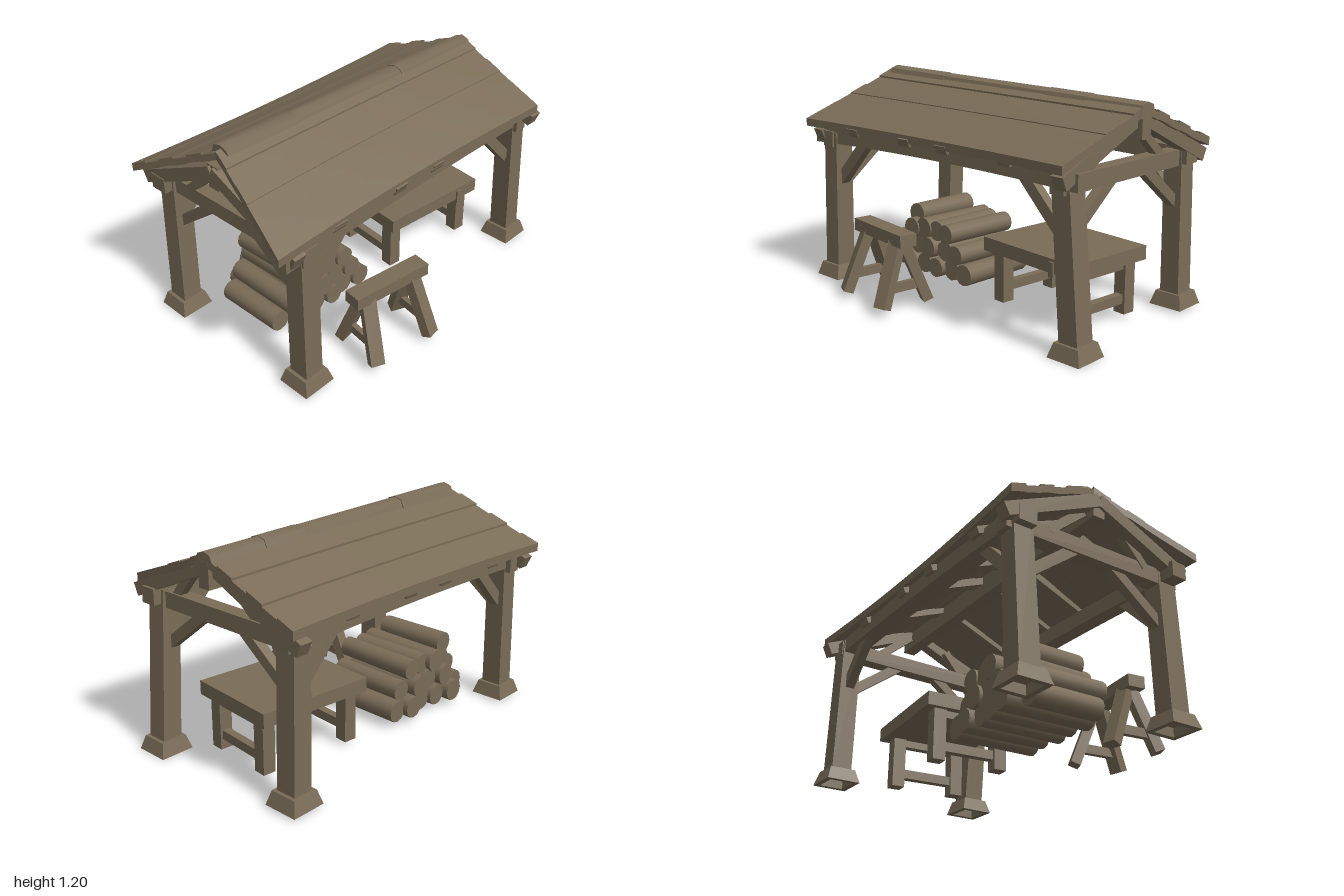
import * as THREE from 'three';

const wood = new THREE.MeshStandardMaterial({ color: 0x7a6c57 });
wood.name = 'weathered wood';
const V = (p) => new THREE.Vector3(...p);
const lerp = THREE.MathUtils.lerp;
const ridgeX = -0.09;

// Moves every vertex of a geometry by a rule
function deform(geo, rule) {
  const p = geo.attributes.position, v = new THREE.Vector3();
  for (let i = 0; i < p.count; i++) {
    v.fromBufferAttribute(p, i);
    rule(v);
    p.setXYZ(i, v.x, v.y, v.z);
  }
  geo.computeVertexNormals();
  return geo;
}

function add(parent, name, geo) {
  const m = new THREE.Mesh(geo, wood);
  m.name = name;
  parent.add(m);
  return m;
}

// Timber from a to b; taper scales the far end, bend lifts the middle
function beam(parent, name, a, b, w, h, taper = 1, bend = 0) {
  const A = V(a), B = V(b), len = A.distanceTo(B);
  const geo = deform(new THREE.BoxGeometry(w, h, len, 1, 1, bend ? 10 : 1), (v) => {
    const t = v.z / len + 0.5, k = 1 + (taper - 1) * t;
    v.x *= k;
    v.y = v.y * k + bend * 4 * t * (1 - t);
  });
  const m = add(parent, name, geo);
  m.position.copy(A).add(B).multiplyScalar(0.5);
  if (Math.abs(B.y - A.y) > 0.95 * len) m.up.set(0, 0, 1);
  m.lookAt(B);
}

function box(parent, name, x0, x1, y0, y1, z0, z1) {
  const m = add(parent, name, new THREE.BoxGeometry(x1 - x0, y1 - y0, z1 - z0));
  m.position.set((x0 + x1) / 2, (y0 + y1) / 2, (z0 + z1) / 2);
}

// Flared square foot with a recess underneath
function footGeometry() {
  const r = 0.134;
  const profile = [[0, 0.05], [0.7 * r, 0.05], [0.7 * r, 0], [r, 0], [0.77 * r, 0.075], [0, 0.075]];
  const geo = new THREE.LatheGeometry(profile.map((p) => new THREE.Vector2(...p)), 4).toNonIndexed();
  geo.computeVertexNormals();
  return geo.rotateY(Math.PI / 4);
}

function buildFrame(g) {
  // Posts on flared feet: base x, base z, top x, top z, foot height
  const posts = [
    [-0.52, 0.85, -0.525, 0.82, 0.015], [0.395, 0.81, 0.385, 0.80, 0.03],
    [-0.555, -0.855, -0.55, -0.84, 0.02], [0.345, -0.9, 0.355, -0.84, 0.005],
  ];
  for (const [x, z, tx, tz, y] of posts) {
    add(g, 'postFoot', footGeometry()).position.set(x, y, z);
    beam(g, 'post', [x, y + 0.065, z], [tx, 0.87, tz], 0.115, 0.11, 0.95);
    // Knee braces towards the middle, along both beams
    const sx = x < 0 ? 1 : -1, sz = z < 0 ? 1 : -1;
    beam(g, 'crossBrace', [tx + sx * 0.03, 0.58, tz], [tx + sx * 0.33, 0.81, tz], 0.05, 0.055);
    beam(g, 'sideBrace', [tx, 0.6, tz + sz * 0.03], [tx, 0.84, tz + sz * 0.26], 0.05, 0.06);
  }
  // Wall plates and tie beams
  beam(g, 'wallPlate', [-0.55, 0.835, -0.92], [-0.53, 0.835, 0.92], 0.1, 0.085, 1, 0.02);
  beam(g, 'wallPlate', [0.36, 0.845, -0.94], [0.39, 0.845, 0.94], 0.09, 0.085, 1, 0.02);
  beam(g, 'tieBeam', [-0.61, 0.82, 0.82], [0.45, 0.835, 0.81], 0.08, 0.085);
  beam(g, 'tieBeam', [-0.61, 0.825, -0.84], [0.43, 0.825, -0.84], 0.08, 0.085);
  beam(g, 'ridgeBeam', [ridgeX, 1.045, -0.95], [ridgeX, 1.06, 0.9], 0.07, 0.13);
  // Gable rafters with struts under them: z, low ends
  for (const [z, xl, xr] of [[0.88, -0.645, 0.455], [-0.89, -0.665, 0.478]]) {
    beam(g, 'gableRafter', [xl, 0.825, z], [ridgeX, 1.09, z], 0.07, 0.07);
    beam(g, 'gableRafter', [xr, 0.85, z], [ridgeX, 1.09, z], 0.07, 0.07);
    beam(g, 'gableStrut', [-0.36, 0.85, z * 0.95], [-0.15, 1.03, z * 0.95], 0.045, 0.045);
    beam(g, 'gableStrut', [0.24, 0.85, z * 0.95], [0.11, 1.0, z * 0.95], 0.045, 0.045);
  }
  // Common rafters
  for (const z of [0.6, 0.18, -0.1, -0.52]) {
    beam(g, 'rafter', [-0.62, 0.872, z], [ridgeX, 1.1, z], 0.08, 0.045);
    beam(g, 'rafter', [0.44, 0.888, z], [ridgeX, 1.1, z], 0.08, 0.045);
  }
}

function buildRoof(g) {
  // Boards running front to back, barely lapped down each slope
  const boards = 6;
  for (const side of [-1, 1]) {
    for (let i = 0; i < boards; i++) {
      const s0 = i / boards, s1 = (i + 1.03) / boards;
      const lap = 0.004 + 0.004 * Math.sin(i * 2.9 + side);
      const geo = deform(new THREE.BoxGeometry(1, 1, 1, 2, 1, 12), (v) => {
        const s = Math.min(lerp(s0, s1, v.x * side + 0.5), 1), t = v.z + 0.5;
        const waist = 1 - 0.05 * 4 * t * (1 - t) - (side > 0 ? 0.04 * t : 0);
        const ridgeY = lerp(1.118, 1.162, t), eaveY = side > 0 ? 0.905 : 0.892;
        v.x = ridgeX + side * 0.57 * s * waist;
        v.z = lerp(-0.95 + (side > 0 ? 0.04 * s : 0), 0.872 + (side > 0 ? 0.128 : 0.1) * Math.pow(s, 1.1), t);
        v.y = lerp(ridgeY, eaveY, s) + v.y * 0.038 + lap * (v.y > 0 ? 1.5 : 0.5);
      });
      add(g, 'roofBoard', geo);
    }
  }
  // Ridge caps, butted end to end with slight changes of width
  const cuts = [-0.95, -0.62, -0.36, 0.39, 0.84];
  for (let i = 0; i < cuts.length - 1; i++) {
    const w = 0.138 + 0.01 * (i % 2);
    const geo = deform(new THREE.BoxGeometry(w, 0.07, 1, 2, 1, 1), (v) => {
      v.z = lerp(cuts[i], cuts[i + 1], v.z + 0.5);
      if (v.y > 0) {
        v.y += v.x === 0 ? 0.008 : -0.006;
        v.x *= 0.62;
      }
      v.x += ridgeX - 0.006;
      v.y += 1.115 + 0.026 * (v.z + 0.95) + 0.003 * (i % 2);
    });
    add(g, 'ridgeCap', geo);
  }
}

function buildLogs(g) {
  // Stacked logs: z, y, low x end, high x end
  const logs = [
    [0.665, 0.1, -0.35, 0.045], [0.55, 0.1, -0.43, 0.09], [0.43, 0.1, -0.4, 0.08],
    [0.32, 0.1, -0.38, 0.1], [0.215, 0.1, -0.41, 0.07], [0.105, 0.1, -0.38, 0.09],
    [0.61, 0.22, -0.335, 0.115], [0.49, 0.205, -0.41, 0.08], [0.38, 0.205, -0.38, 0.1],
    [0.275, 0.2, -0.4, 0.07], [0.165, 0.2, -0.36, 0.09],
    [0.52, 0.3, -0.35, 0.1], [0.42, 0.31, -0.4, 0.09], [0.33, 0.31, -0.37, 0.08], [0.23, 0.31, -0.38, 0.1],
    [0.525, 0.375, -0.36, 0.05],
  ];
  logs.forEach(([z, y, x0, x1], i) => {
    const r = 0.06 + 0.003 * Math.sin(i * 1.7);
    const m = add(g, 'log', new THREE.CylinderGeometry(r, r * 0.97, x1 - x0, 12));
    m.position.set((x0 + x1) / 2, y, z);
    m.rotation.set(0, 0.02 * Math.sin(i * 3), Math.PI / 2 + 0.02);
  });
}

function buildTable(g) {
  box(g, 'tableTop', -0.265, 0.265, 0.31, 0.385, -0.33, 0.33);
  for (const z of [-0.265, 0.265]) {
    for (const x of [-0.18, 0.18]) box(g, 'tableLeg', x - 0.036, x + 0.036, 0.03, 0.315, z - 0.036, z + 0.036);
    box(g, 'tableLowRail', -0.17, 0.17, 0.085, 0.135, z - 0.022, z + 0.022);
    box(g, 'tableTopRail', -0.17, 0.17, 0.27, 0.315, z - 0.022, z + 0.022);
  }
  box(g, 'tablePeg', 0.25, 0.275, 0.29, 0.37, -0.2, -0.17);
  g.position.set(-0.09, 0, -0.465);
  g.rotation.y = -0.1;
}

function buildSawhorse(g) {
  box(g, 'sawhorseTop', -0.05, 0.05, 0.365, 0.432, -0.23, 0.23);
  for (const end of [-1, 1]) {
    for (const side of [-1, 1]) {
      beam(g, 'sawhorseLeg', [side * 0.14, 0.045, end * 0.182], [side * 0.015, 0.38, end * 0.145], 0.075, 0.055);
    }
    beam(g, 'sawhorseRail', [-0.11, 0.14, end * 0.17], [0.11, 0.14, end * 0.17], 0.03, 0.05);
  }
  g.position.set(0.473, 0, 0.305);
  g.rotation.y = -0.14;
}

export function createModel() {
  const model = new THREE.Group();
  model.name = 'woodShelter';
  const parts = { frame: buildFrame, roof: buildRoof, logPile: buildLogs, workTable: buildTable, sawhorse: buildSawhorse };
  for (const [name, build] of Object.entries(parts)) {
    const g = new THREE.Group();
    g.name = name;
    build(g);
    model.add(g);
  }
  return model;
}
